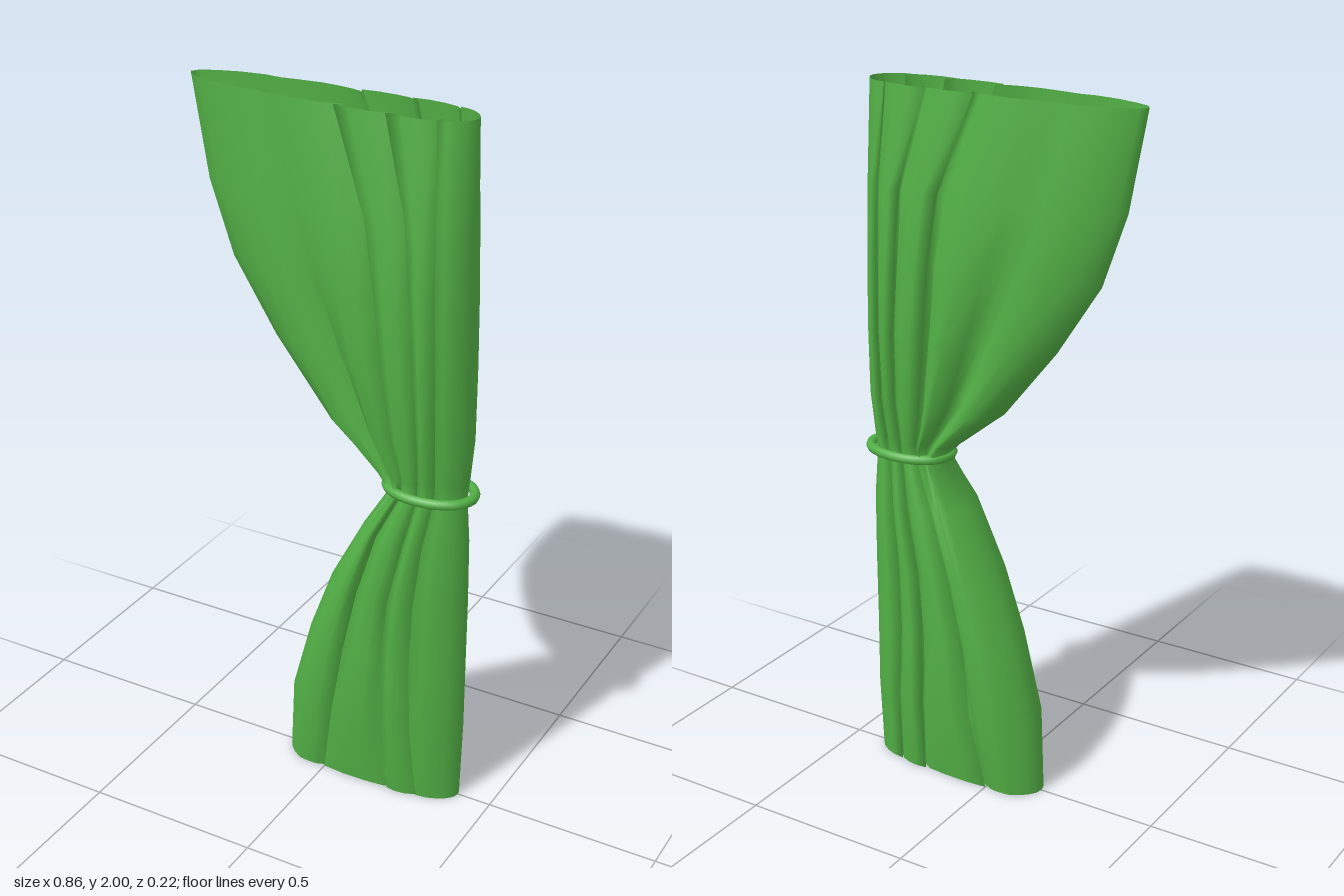
import * as THREE from 'three';

// Rows of the cloth, top to bottom:
// y, left edge, four pleat creases, right edge, half depth, first crease strength, other creases' strength
const ROWS = [
  [2.00, -0.43, -0.20, 0.03, 0.18, 0.31, 0.39, 0.077, 0.15, 0.25],
  [1.73, -0.38, -0.13, 0.13, 0.25, 0.325, 0.395, 0.103, 0.20, 0.35],
  [1.53, -0.31, -0.05, 0.16, 0.265, 0.33, 0.40, 0.111, 0.35, 0.45],
  [1.33, -0.18, 0.03, 0.18, 0.28, 0.335, 0.403, 0.111, 0.60, 0.55],
  [1.13, -0.02, 0.11, 0.205, 0.287, 0.335, 0.406, 0.098, 0.75, 0.65],
  [1.01, 0.13, 0.185, 0.23, 0.283, 0.33, 0.397, 0.079, 0.60, 0.72],
  [0.96, 0.18, 0.203, 0.23, 0.28, 0.325, 0.392, 0.074, 0.40, 0.72],
  [0.83, 0.10, 0.135, 0.17, 0.255, 0.305, 0.40, 0.102, 0.10, 0.65],
  [0.64, 0.00, 0.06, 0.115, 0.215, 0.285, 0.403, 0.111, 0, 0.58],
  [0.45, -0.07, 0.00, 0.075, 0.20, 0.278, 0.403, 0.112, 0, 0.50],
  [0.23, -0.13, -0.045, 0.04, 0.20, 0.285, 0.403, 0.112, 0, 0.40],
  [0.00, -0.145, -0.07, 0.00, 0.21, 0.295, 0.40, 0.077, 0, 0.25],
];

// Each panel between creases: [position along panel, fullness, first crease weight, other crease weight]
const PANELS = [
  [[0, 0, 0, 0], [0.06, 0.27, 0, 0], [0.25, 0.52, 0, 0], [0.5, 0.74, 0, 0], [0.8, 0.92, 0.4, 0]],
  [[0, 0.96, 1, 0], [0.2, 0.97, 0.5, 0], [0.5, 0.98, 0, 0], [0.75, 0.96, 0, 0.1], [0.92, 0.95, 0, 0.4]],
  [[0.1, 0.95, 0, 1], [0, 1, 0, 0.25], [0.3, 1, 0, 0], [0.65, 1, 0, 0.05], [0.92, 0.98, 0, 0.25]],
  [[0.14, 0.95, 0, 1], [-0.04, 1, 0, 0.2], [0.3, 1, 0, 0], [0.65, 0.96, 0, 0.05], [0.95, 0.88, 0, 0.3]],
  [[0.1, 0.8, 0, 1], [0, 0.85, 0, 0.1], [0.3, 0.78, 0, 0], [0.58, 0.64, 0, 0], [0.82, 0.43, 0, 0], [0.96, 0.2, 0, 0]],
];

// One closed cross-section: the front side, then its mirror at the back
function section([y, ...r]) {
  const [right, depth, first, others] = r.slice(5);
  const front = PANELS.flatMap((panel, p) => panel.map(([t, full, w1, w2]) =>
    [r[p] + (r[p + 1] - r[p]) * t, y, depth * full * (1 - first * w1 - others * w2)]));
  const back = front.slice(1).reverse().map(([x, h, z]) => [x, h, -z]);
  return [...front, [right, y, 0], ...back];
}

function loft(sections) {
  const n = sections[0].length, index = [];
  for (let j = 0; j < sections.length - 1; j++) {
    for (let i = 0; i < n; i++) {
      const a = j * n + i, b = j * n + (i + 1) % n;
      index.push(a, a + n, b, b, a + n, b + n);
    }
  }
  const g = new THREE.BufferGeometry();
  g.setAttribute('position', new THREE.Float32BufferAttribute(sections.flat(2), 3));
  g.setIndex(index);
  g.computeVertexNormals();
  return g;
}

export function createModel() {
  const model = new THREE.Group();
  model.name = 'tiedCurtain';
  const material = new THREE.MeshStandardMaterial({ color: 0x52b045, side: THREE.DoubleSide });

  // Gathered cloth, open at the top and bottom
  const cloth = new THREE.Mesh(loft(ROWS.map(section)), material);
  cloth.name = 'curtainCloth';
  model.add(cloth);

  // Cord around the waist
  const half = [[0.163, 0], [0.18, 0.045], [0.225, 0.074], [0.285, 0.083], [0.345, 0.074], [0.392, 0.047], [0.412, 0]];
  const loop = [...half, ...half.slice(1, -1).reverse().map(([x, z]) => [x, -z])];
  const path = new THREE.CatmullRomCurve3(loop.map(([x, z]) => new THREE.Vector3(x, 0.97, z)), true);
  const tie = new THREE.Mesh(new THREE.TubeGeometry(path, 40, 0.014, 8, true), material);
  tie.name = 'tieBack';
  model.add(tie);

  return model;
}
